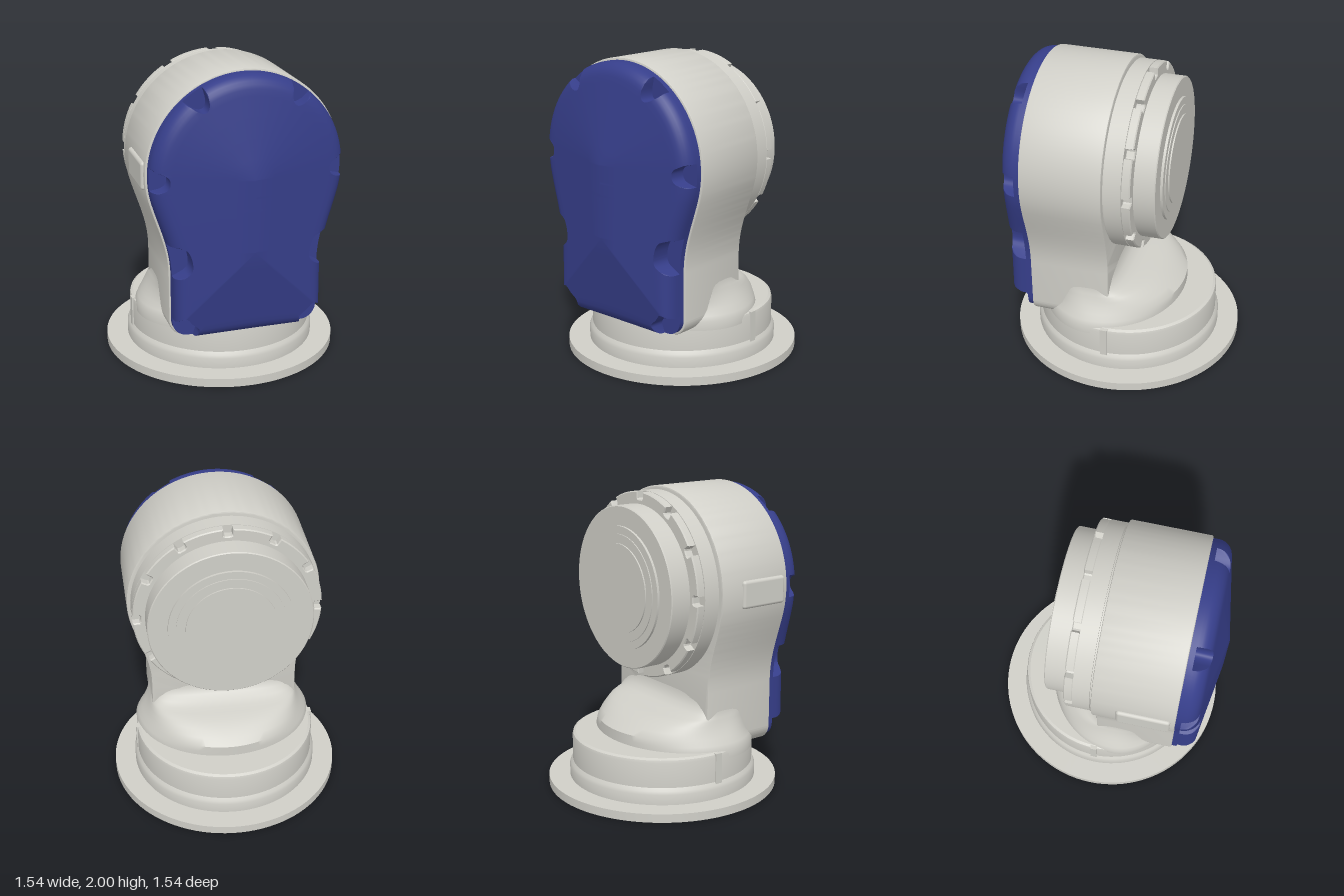
import * as THREE from 'three';
import { toCreasedNormals } from 'three/addons/utils/BufferGeometryUtils.js';
import { RoundedBoxGeometry } from 'three/addons/geometries/RoundedBoxGeometry.js';

const HEAD_Y = 1.37;

// Keyhole outline: round head, waisted sides, square foot with rounded corners
function outline(off) {
  const R = 0.63 - off, w = 0.488 - off * 0.6, b = 0.297 + off, c = 0.1, a = 0.28;
  const px = R * Math.cos(a), py = HEAD_Y - R * Math.sin(a);
  const qx = px - 0.18 * Math.sin(a), qy = py - 0.18 * Math.cos(a);
  const s = new THREE.Shape();
  s.moveTo(-w + c, b);
  s.lineTo(w - c, b);
  s.absarc(w - c, b + c, c, -Math.PI / 2, 0);
  s.lineTo(w, 0.72);
  s.bezierCurveTo(w, 0.9, qx, qy, px, py);
  s.absarc(0, HEAD_Y, R, -a, Math.PI + a);
  s.bezierCurveTo(-qx, qy, -w, 0.9, -w, 0.72);
  s.lineTo(-w, b + c);
  s.absarc(-w + c, b + c, c, Math.PI, Math.PI * 1.5);
  return s;
}

// Surface through rows of points, each row having the same count
function skin(rows, crease) {
  const n = rows[0].length, pos = rows.flat(2), idx = [];
  for (let i = 0; i < rows.length - 1; i++) {
    for (let j = 0; j < n - 1; j++) {
      const a = i * n + j, b = a + n;
      idx.push(a, b, a + 1, b, b + 1, a + 1);
    }
  }
  const g = new THREE.BufferGeometry();
  g.setAttribute('position', new THREE.Float32BufferAttribute(pos, 3));
  g.setIndex(idx);
  return toCreasedNormals(g, crease);
}

function lathe(points) {
  const g = new THREE.LatheGeometry(points.map(p => new THREE.Vector2(...p)), 96);
  return toCreasedNormals(g, 0.5);
}

// Hipped front cover with rounded rim and screw pockets
function coverGeometry() {
  const pts = outline(0.015).getSpacedPoints(480).reverse();
  const pockets = []; // x, y, half width, depth, squareness
  for (const s of [-1, 1]) {
    pockets.push([s * 0.34, 1.88, 0.068, 0.115, 2], [s * 0.615, 1.37, 0.066, 0.11, 2.5],
      [s * 0.485, 0.845, 0.112, 0.11, 4], [s * 0.45, 0.342, 0.1, 0.115, 2.5]);
  }
  const Z0 = 0.53, FLOOR = 0.565, r = 0.08;
  const roof = (x, y) => 0.76 - 0.18 * (y > HEAD_Y ? Math.hypot(x, y - HEAD_Y) : Math.max(Math.abs(x), 0.9 - y));
  const columns = pts.map(p => {
    const sy = Math.min(HEAD_Y, Math.max(0.9, p.y));
    const L = Math.hypot(p.x, p.y - sy);
    const at = (e, z) => {
      const f = e / L, x = p.x * (1 - f), y = p.y + (sy - p.y) * f;
      const k = 1 - Math.min(e, r) / r;
      return [x, y, z ?? roof(x, y) - r * (1 - Math.sqrt(1 - k * k))];
    };
    let cut = 0;
    for (const [x, y, w, depth, n] of pockets) {
      const d = Math.hypot(p.x - x, p.y - y) / w;
      if (d < 1) cut = depth * Math.pow(1 - Math.pow(d, n), 1 / n);
    }
    const insets = [0, 0.003, 0.01, 0.02, 0.035, 0.055, 0.08, 0.12, L * 0.4, L * 0.6, L * 0.8, L];
    return [at(0, Z0), at(0, FLOOR), at(cut, FLOOR), ...insets.map(e => at(Math.max(e, cut)))];
  });
  return skin(columns[0].map((_, i) => columns.map(c => c[i])), 0.5);
}

// Neck blending the round base into the flat-sided housing
function neckGeometry() {
  const sections = [ // y, half width, front z, back z, squareness
    [0.30, 0.60, 0.56, -0.40, 2], [0.36, 0.60, 0.56, -0.40, 2], [0.39, 0.585, 0.55, -0.40, 2],
    [0.43, 0.56, 0.535, -0.40, 2], [0.47, 0.535, 0.525, -0.35, 2.2], [0.505, 0.518, 0.52, -0.29, 2.4],
    [0.53, 0.508, 0.52, -0.235, 2.6], [0.545, 0.503, 0.52, -0.17, 2.8], [0.555, 0.499, 0.52, -0.12, 3],
    [0.575, 0.494, 0.52, -0.07, 3.4], [0.605, 0.489, 0.52, -0.03, 3.8], [0.65, 0.486, 0.52, -0.004, 4.4],
    [0.70, 0.484, 0.52, 0.004, 5], [0.80, 0.482, 0.52, 0.01, 6], [0.95, 0.48, 0.52, 0.02, 7]];
  const zc = 0.12, pw = (v, n) => Math.sign(v) * Math.pow(Math.abs(v), 2 / n);
  const rows = sections.map(([y, a, zf, zb, n]) => Array.from({ length: 97 }, (_, j) => {
    const t = (j % 96) / 96 * Math.PI * 2, s = Math.sin(t);
    return [a * pw(Math.cos(t), n), y, zc + (s > 0 ? zf - zc : zc - zb) * pw(s, n)];
  }));
  return skin(rows, 0.7);
}

// Rim with twelve notches
function notchedRing() {
  const s = new THREE.Shape(), R = 0.6, r = 0.55, h = 0.062;
  for (let k = 0; k < 12; k++) {
    const m = k * Math.PI / 6;
    const put = (rad, a) => s[k || s.curves.length || s.currentPoint.x ? 'lineTo' : 'moveTo'](rad * Math.cos(a), rad * Math.sin(a));
    put(R, m - h);
    put(r + 0.01, m - h);
    put(r, m - h * 0.6);
    put(r, m + h * 0.6);
    put(r + 0.01, m + h);
    for (let i = 0; i <= 8; i++) put(R, m + h + (Math.PI / 6 - 2 * h) * i / 8.01);
  }
  s.closePath();
  const g = new THREE.ExtrudeGeometry(s, { depth: 0.045, bevelThickness: 0.007, bevelSize: 0.007, bevelSegments: 1 });
  return toCreasedNormals(g, 0.4);
}

export function createModel() {
  const group = new THREE.Group();
  const shell = new THREE.MeshStandardMaterial({ color: 0xd0cfc8 });
  shell.name = 'light grey shell';
  const blue = new THREE.MeshStandardMaterial({ color: 0x363e8a });
  blue.name = 'blue cover';
  const add = (name, geo, mat, x = 0, y = 0, z = 0) => {
    const m = new THREE.Mesh(geo, mat);
    m.name = name;
    m.position.set(x, y, z);
    group.add(m);
    return m;
  };

  // Flange and collar, hollow underneath
  add('base', lathe([[0, 0.12], [0.53, 0.12], [0.53, 0], [0.77, 0], [0.77, 0.057], [0.628, 0.057], [0.628, 0.125],
    [0.62, 0.145], [0.607, 0.165], [0.607, 0.33], [0.602, 0.348], [0.585, 0.358], [0, 0.358]]), shell);
  for (const s of [-1, 1]) {
    add('baseRib', new THREE.BoxGeometry(0.05, 0.3, 0.048), shell, s * 0.59, 0.206, 0);
  }

  add('neck', neckGeometry(), shell);

  // Main housing
  const body = new THREE.ExtrudeGeometry(outline(0.01), {
    depth: 0.51, bevelThickness: 0.01, bevelSize: 0.01, bevelSegments: 2, curveSegments: 36 });
  add('housing', toCreasedNormals(body, 0.5), shell, 0, 0, 0.01);
  add('sidePlate', new RoundedBoxGeometry(0.05, 0.18, 0.34, 3, 0.02), shell, -0.62, HEAD_Y, 0.33);
  add('frontCover', coverGeometry(), blue);

  // Rear joint: stepped discs facing backwards
  const joint = lathe([[0.59, -0.02], [0.59, 0.012], [0.607, 0.012], [0.607, 0.12], [0.528, 0.12], [0.528, 0.308],
    [0.522, 0.314], [0.40, 0.314], [0.40, 0.33], [0.35, 0.33], [0.35, 0.336], [0.29, 0.336], [0.29, 0.345], [0, 0.345]]);
  joint.rotateX(-Math.PI / 2);
  add('rearJoint', joint, shell, 0, HEAD_Y, 0);
  add('notchedRing', notchedRing(), shell, 0, HEAD_Y, -0.17);

  return group;
}
